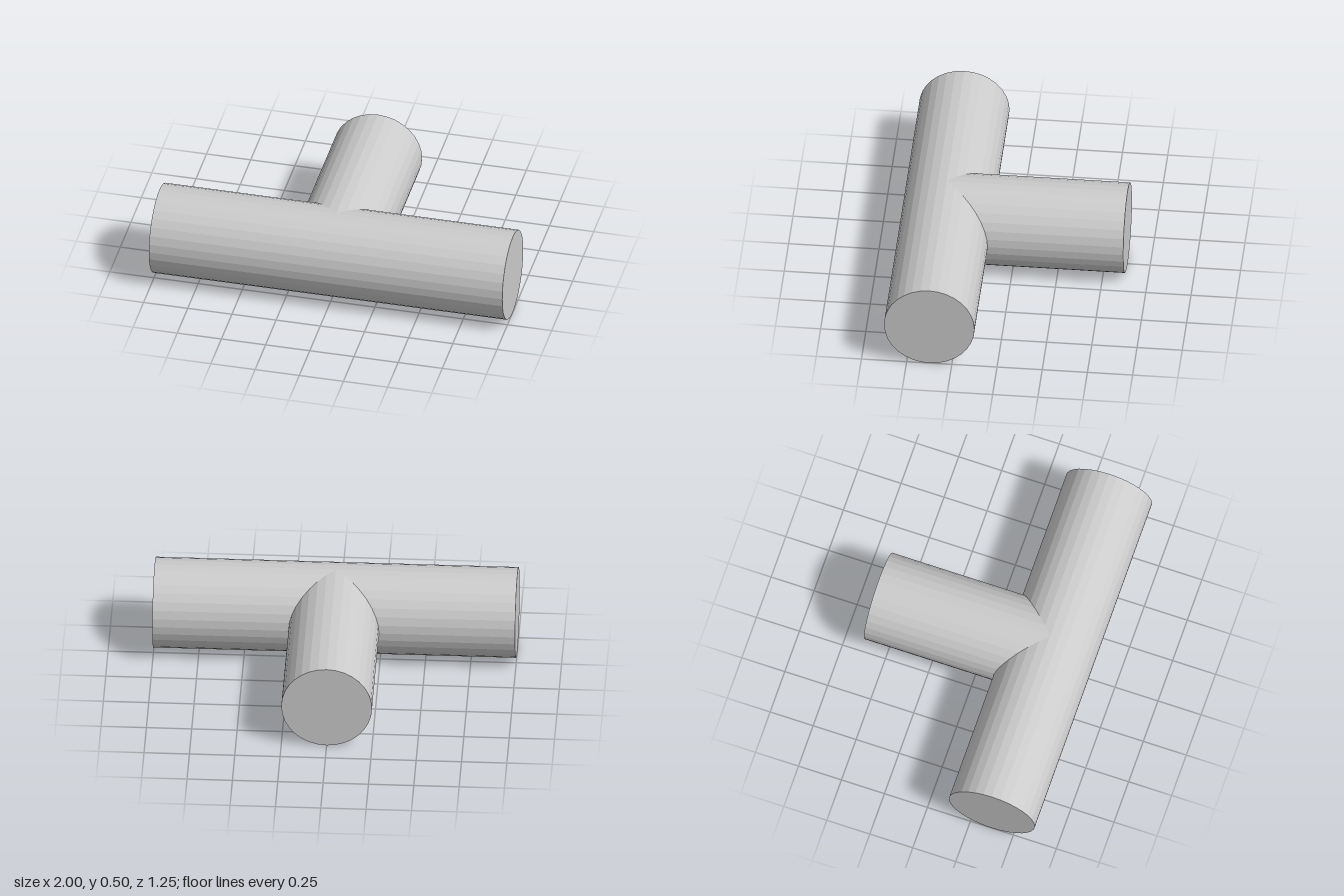
import * as THREE from 'three';

const RADIUS = 0.25, SIDES = 32, AXIS_Z = 0.375;

const material = new THREE.MeshStandardMaterial({ color: 0xcccccc, flatShading: true });

// One arm along +y from the joint; its inner rim is mitred by the rule inner(x, z)
function makeArm(name, length, inner) {
  const arm = new THREE.Group();
  arm.name = name;

  const wall = new THREE.CylinderGeometry(RADIUS, RADIUS, length, SIDES, 1, true);
  wall.translate(0, length / 2, 0);
  const p = wall.attributes.position;
  for (let i = 0; i < p.count; i++) {
    if (p.getY(i) < length / 2) p.setY(i, inner(p.getX(i), p.getZ(i)));
  }
  wall.computeVertexNormals();
  const wallMesh = new THREE.Mesh(wall, material);
  wallMesh.name = name + 'Wall';

  // Flat outer end
  const cap = new THREE.CircleGeometry(RADIUS, SIDES);
  cap.rotateX(-Math.PI / 2).translate(0, length, 0);
  const capMesh = new THREE.Mesh(cap, material);
  capMesh.name = name + 'EndCap';

  arm.add(wallMesh, capMesh);
  arm.position.set(0, RADIUS, AXIS_Z);
  return arm;
}

export function createModel() {
  const model = new THREE.Group();
  model.name = 'teeJoint';

  // Main pipe: two mirrored arms, cut back at 45 degrees on the branch side
  for (const [name, side] of [['leftArm', 1], ['rightArm', -1]]) {
    const arm = makeArm(name, 1, (x, z) => Math.max(0, -z));
    arm.rotation.z = -side * Math.PI / 2;
    model.add(arm);
  }

  // Branch pipe running backwards, with a V-shaped mitre
  const branch = makeArm('branchArm', 1, (x) => Math.abs(x));
  branch.rotation.x = -Math.PI / 2;
  model.add(branch);

  return model;
}
